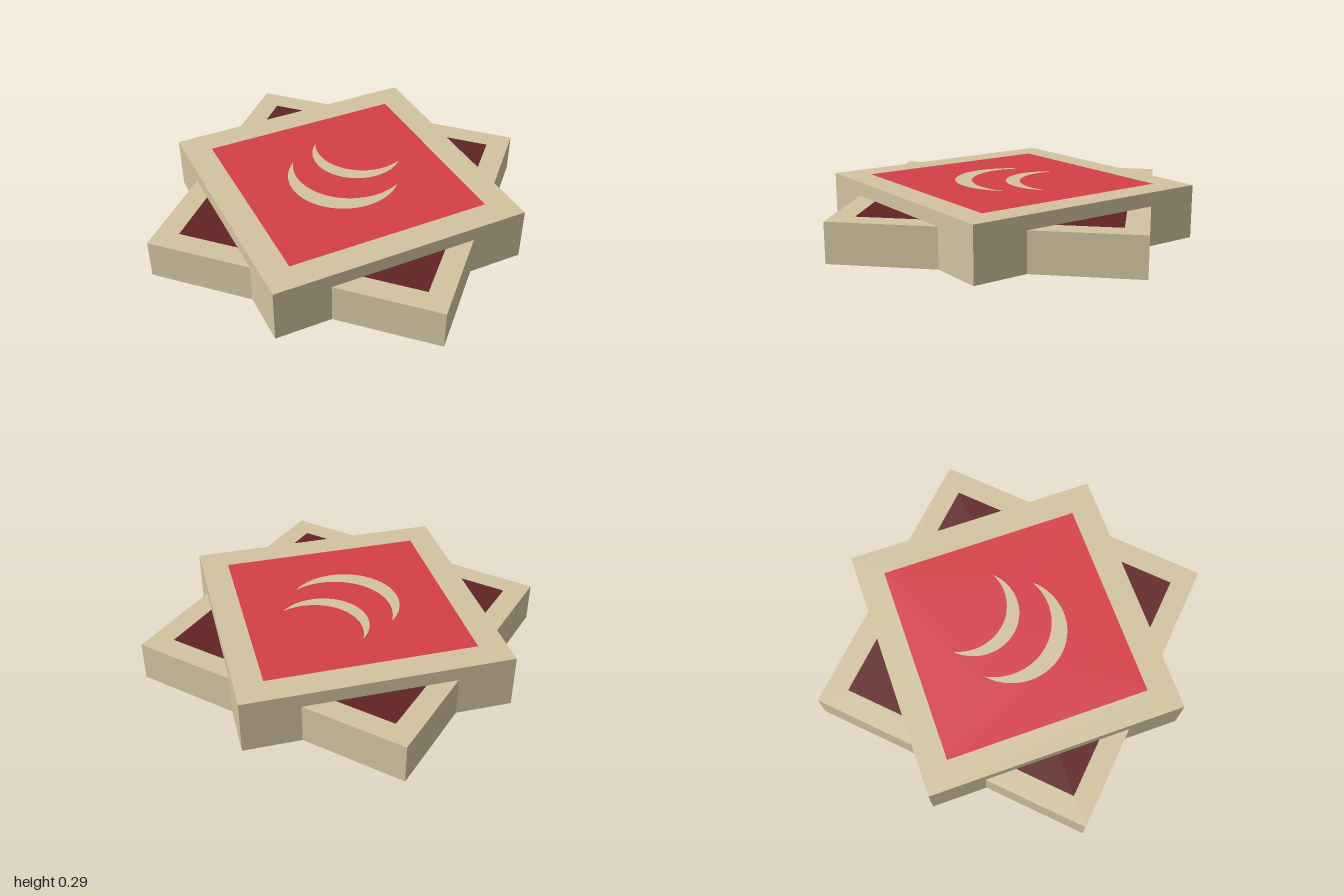
import * as THREE from 'three';

const mat = (name, color) => {
  const m = new THREE.MeshStandardMaterial({ color, side: THREE.DoubleSide });
  m.name = name;
  return m;
};

// Corners of a square of circumradius r, turned by angle
const square = (r, angle) => [0, 1, 2, 3].map((i) => {
  const a = angle + i * Math.PI / 2;
  return new THREE.Vector2(r * Math.cos(a), r * Math.sin(a));
});

// Arc through (-w, tip), (0, bottom), (w, tip); shape y is -z
function arc(w, tip, bottom, n = 28) {
  const s = bottom - tip;
  const r = (w * w + s * s) / (2 * s);
  const c = bottom - r;
  const half = Math.atan2(w, tip - c);
  return Array.from({ length: n + 1 }, (_, i) => {
    const a = half * (2 * i / n - 1);
    return new THREE.Vector2(r * Math.sin(a), -(c + r * Math.cos(a)));
  });
}

const crescent = (w, tip, outer, inner) =>
  [...arc(w, tip, outer), ...arc(w, tip, inner).reverse().slice(1, -1)];

// Horizontal flat face at height y, with optional cut-outs
function flat(name, points, holes, y, material) {
  const shape = new THREE.Shape(points);
  holes.forEach((h) => shape.holes.push(new THREE.Path(h)));
  const mesh = new THREE.Mesh(new THREE.ShapeGeometry(shape).rotateX(-Math.PI / 2), material);
  mesh.position.y = y;
  mesh.name = name;
  return mesh;
}

// Tile shell, open underneath: four walls, top border and inset panel
function tile(name, r, inset, angle, height, beige, panelColor, marks) {
  const g = new THREE.Group();
  g.name = name;
  const side = r * Math.SQRT2;
  for (let i = 0; i < 4; i++) {
    const wall = new THREE.PlaneGeometry(side, height).translate(0, height / 2, side / 2);
    const mesh = new THREE.Mesh(wall, beige);
    mesh.rotation.y = angle + Math.PI / 4 + i * Math.PI / 2;
    mesh.name = name + 'Wall';
    g.add(mesh);
  }
  const inner = square(inset, angle);
  g.add(flat(name + 'Border', square(r, angle), [inner], height, beige));
  g.add(flat(name + 'Panel', inner, marks, height, panelColor));
  marks.forEach((m) => g.add(flat('crescent', m, [], height, beige)));
  return g;
}

export function createModel() {
  const beige = mat('beige', 0xd2c39f);
  const red = mat('red', 0xd53e46);
  const darkRed = mat('dark red', 0x602224);

  const model = new THREE.Group();
  model.name = 'starTile';
  const crescents = [
    crescent(0.25, -0.24, 0.013, -0.065),
    crescent(0.303, -0.025, 0.295, 0.2),
  ];
  // Lower straight tile and taller diamond tile crossing it
  model.add(tile('lowerTile', 0.785 * Math.SQRT2, 0.665 * Math.SQRT2, Math.PI / 4, 0.215, beige, darkRed, []));
  model.add(tile('upperTile', 1, 0.79, 0, 0.29, beige, red, crescents));
  return model;
}
